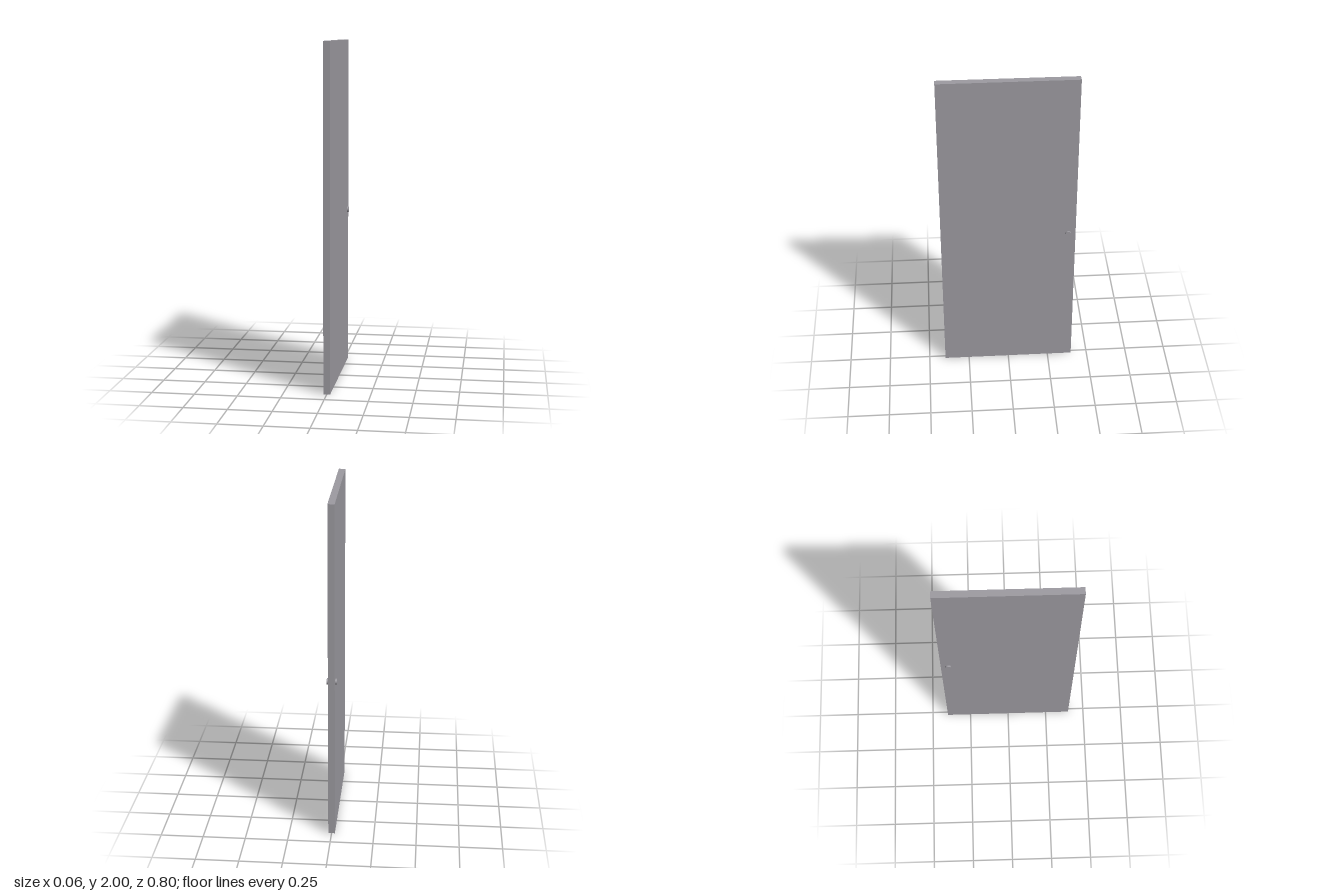
import * as THREE from 'three';

export function createModel() {
  const model = new THREE.Group();
  model.name = 'door';
  const material = new THREE.MeshStandardMaterial({ color: 0x9c9aa0 });

  // Flat door slab, thin along x
  const panel = new THREE.Mesh(new THREE.BoxGeometry(0.039, 2, 0.8), material);
  panel.name = 'doorPanel';
  panel.position.y = 1;
  model.add(panel);

  // Short round knob on each face, near the back edge
  const length = 0.018; // partly sunk into the panel
  const knobGeometry = new THREE.CylinderGeometry(0.0175, 0.0175, length, 32);
  knobGeometry.rotateZ(Math.PI / 2);
  for (const [name, side] of [['leftKnob', 1], ['rightKnob', -1]]) {
    const knob = new THREE.Mesh(knobGeometry, material);
    knob.name = name;
    knob.position.set(side * (0.029 - length / 2), 0.958, -0.356);
    model.add(knob);
  }
  return model;
}
